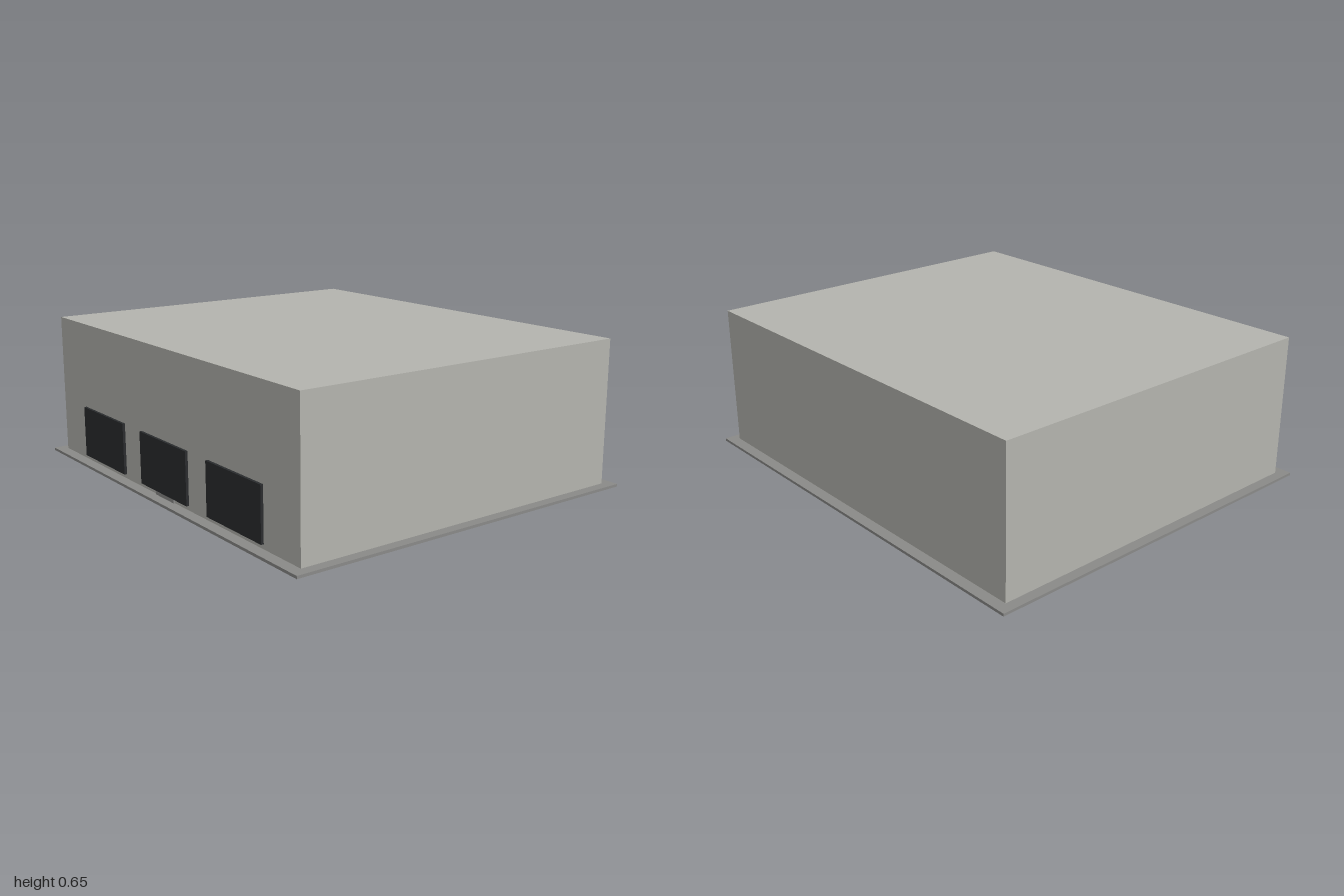
import * as THREE from 'three';

const material = (color) => new THREE.MeshStandardMaterial({ color });

// Box given by its size, its bottom height and its centre in x and z
function block(name, mat, [w, h, d], x, bottom, z) {
  const mesh = new THREE.Mesh(new THREE.BoxGeometry(w, h, d), mat);
  mesh.name = name;
  mesh.position.set(x, bottom + h / 2, z);
  return mesh;
}

export function createModel() {
  const group = new THREE.Group();
  group.name = 'building';
  const wall = material(0xb4b4ae);
  const paving = material(0x8a8a88);
  const glass = material(0x2a2c2e);

  // Ground slab and main volume
  group.add(block('groundSlab', paving, [2, 0.012, 1.71], 0, 0, 0));
  group.add(block('mainBody', wall, [1.91, 0.638, 1.61], 0, 0.012, 0));

  // Entrance door, mostly covered by the middle window
  group.add(block('entranceDoor', paving, [0.15, 0.14, 0.012], 0, 0.012, 0.805));

  // Row of three dark windows on the front
  for (const x of [-0.535, 0, 0.535]) {
    group.add(block('frontWindow', glass, [0.38, 0.23, 0.012], x, 0.032, 0.811));
  }
  return group;
}
